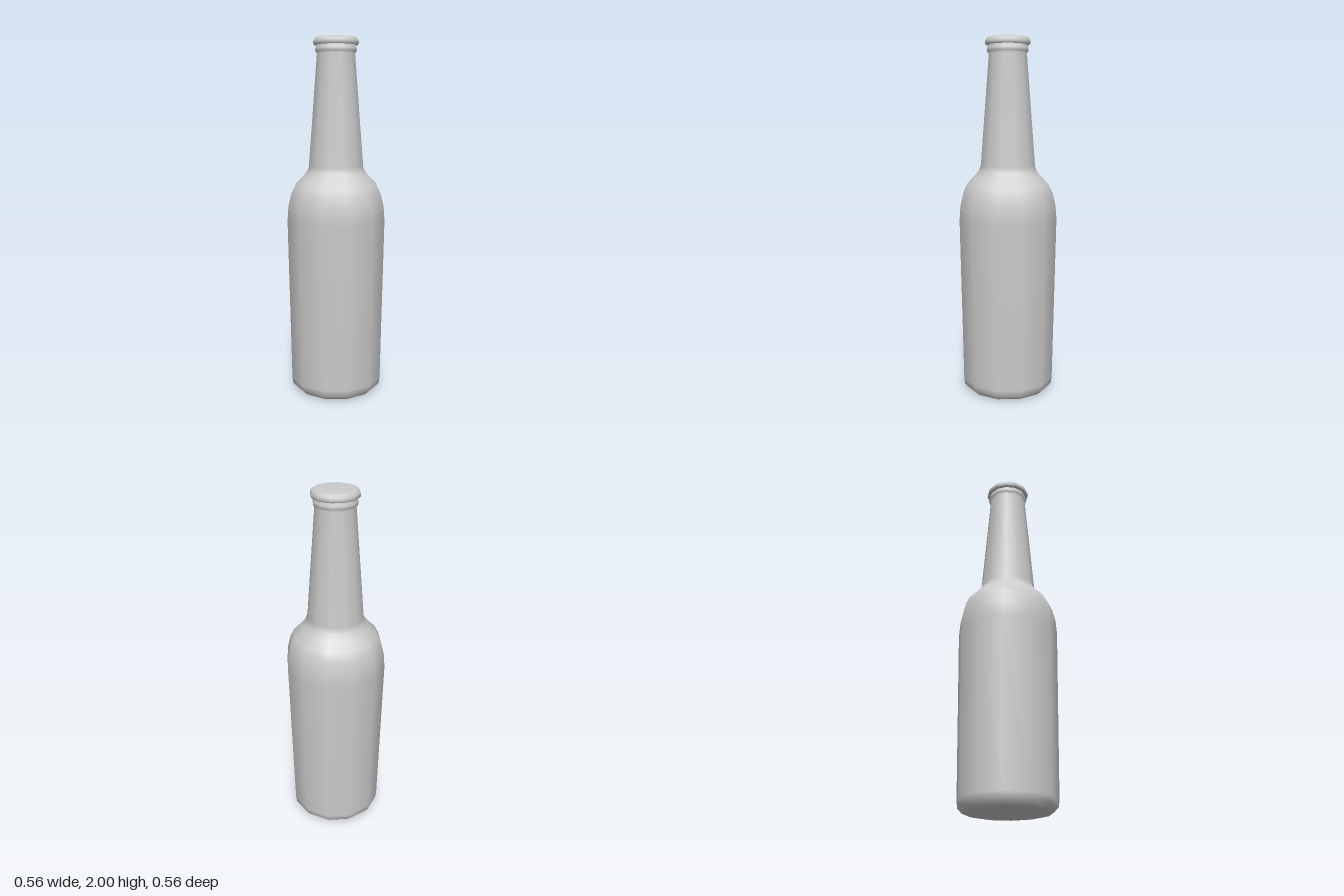
import * as THREE from 'three';

const SIDES = 12;

// Smooth twelve-sided turned part from [radius, height] pairs, listed bottom to top
function turned(name, profile, material) {
  const points = profile.map(([r, y]) => new THREE.Vector2(r, y));
  const mesh = new THREE.Mesh(new THREE.LatheGeometry(points, SIDES), material);
  mesh.name = name;
  return mesh;
}

export function createModel() {
  const group = new THREE.Group();
  group.name = 'bottle';
  const material = new THREE.MeshStandardMaterial({ color: 0xcccccc, side: THREE.DoubleSide });

  // Glass: base, slightly widening body, rounded shoulder, tapered neck and lip ring
  group.add(turned('glassBody', [
    [0, 0.01], [0.21, 0.005], [0.235, 0.01], [0.258, 0.035], [0.263, 0.07],
    [0.28, 1.0], [0.274, 1.08], [0.257, 1.15], [0.235, 1.195],
    [0.19, 1.24], [0.167, 1.27], [0.156, 1.3],
    [0.107, 1.91], [0.116, 1.922], [0.117, 1.937], [0.108, 1.952], [0.106, 1.97],
  ], material));

  // Underside of the cap
  group.add(turned('capUnderside', [[0, 1.96], [0.122, 1.957]], material));

  // Domed cap
  group.add(turned('cap', [
    [0.122, 1.957], [0.128, 1.965], [0.126, 1.98], [0.116, 1.994], [0.1, 1.999], [0, 2.0],
  ], material));

  return group;
}
